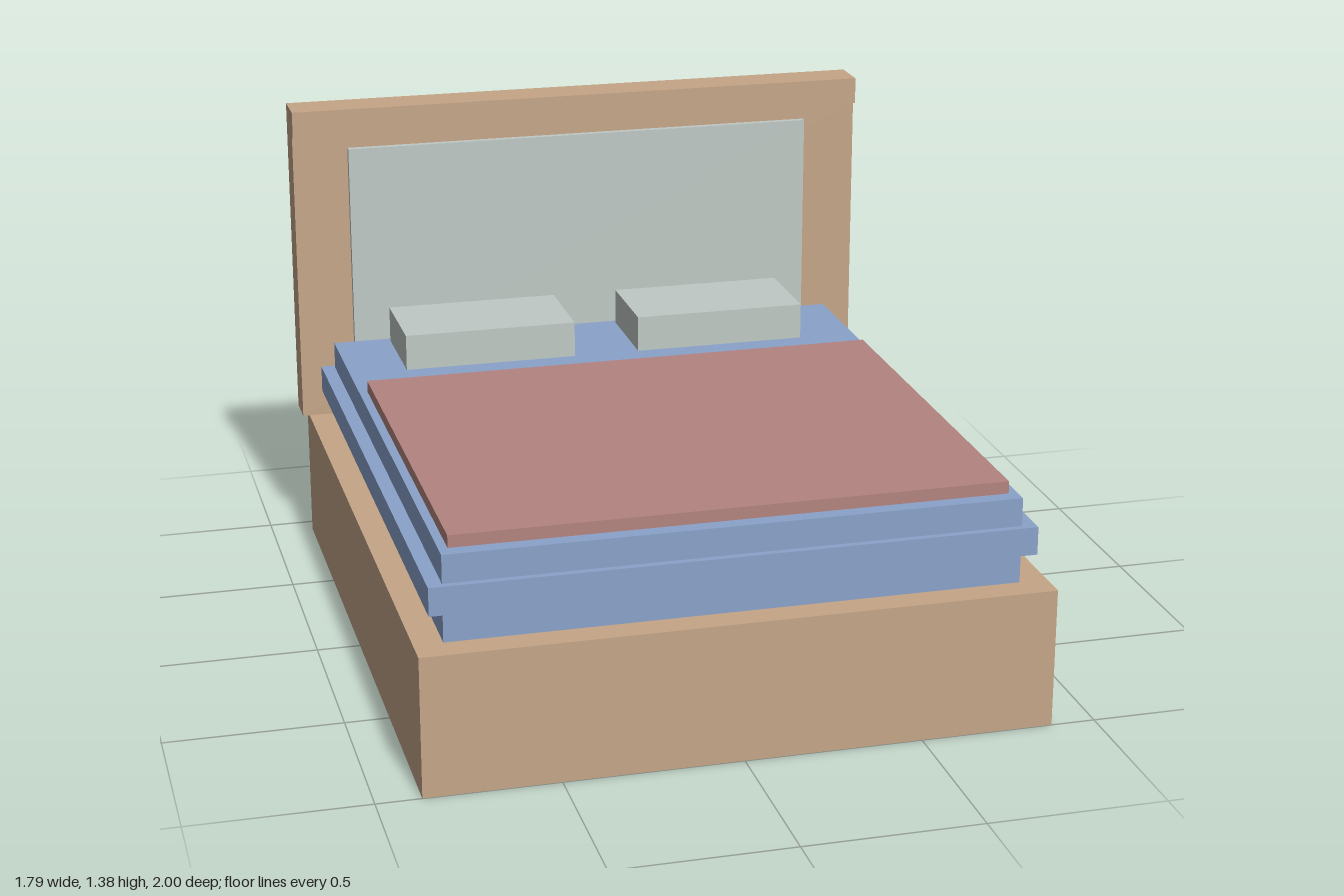
import * as THREE from 'three';

const mat = (name, color) => {
  const m = new THREE.MeshStandardMaterial({ color });
  m.name = name;
  return m;
};

export function createModel() {
  const wood = mat('wood', 0xc5a688);
  const blue = mat('mattress blue', 0x8aa2ca);
  const sage = mat('pale sage', 0xc0c9c5);
  const red = mat('dusty red', 0xb38480);

  const bed = new THREE.Group();
  bed.name = 'bed';

  // Box given by its extents along each axis
  const box = (name, material, [x0, x1], [y0, y1], [z0, z1]) => {
    const mesh = new THREE.Mesh(new THREE.BoxGeometry(x1 - x0, y1 - y0, z1 - z0), material);
    mesh.position.set((x0 + x1) / 2, (y0 + y1) / 2, (z0 + z1) / 2);
    mesh.name = name;
    bed.add(mesh);
  };

  // Wooden base and headboard with a cap rail
  box('base', wood, [-0.875, 0.875], [0, 0.4], [-0.937, 1]);
  box('headboard', wood, [-0.895, 0.895], [0.4, 1.3], [-1, -0.895]);
  box('headboardCap', wood, [-0.895, 0.895], [1.3, 1.38], [-1, -0.875]);
  box('headboardPanel', sage, [-0.727, 0.727], [0.545, 1.255], [-0.895, -0.875]);

  // Mattress with a protruding band around its middle
  box('mattress', blue, [-0.795, 0.795], [0.4, 0.645], [-0.855, 0.92]);
  box('mattressBand', blue, [-0.835, 0.835], [0.485, 0.565], [-0.875, 0.94]);

  // Blanket and pillows
  box('blanket', red, [-0.77, 0.77], [0.645, 0.68], [-0.375, 0.877]);
  box('leftPillow', sage, [0.1, 0.622], [0.645, 0.753], [-0.835, -0.545]);
  box('rightPillow', sage, [-0.622, -0.1], [0.645, 0.753], [-0.835, -0.545]);

  return bed;
}
